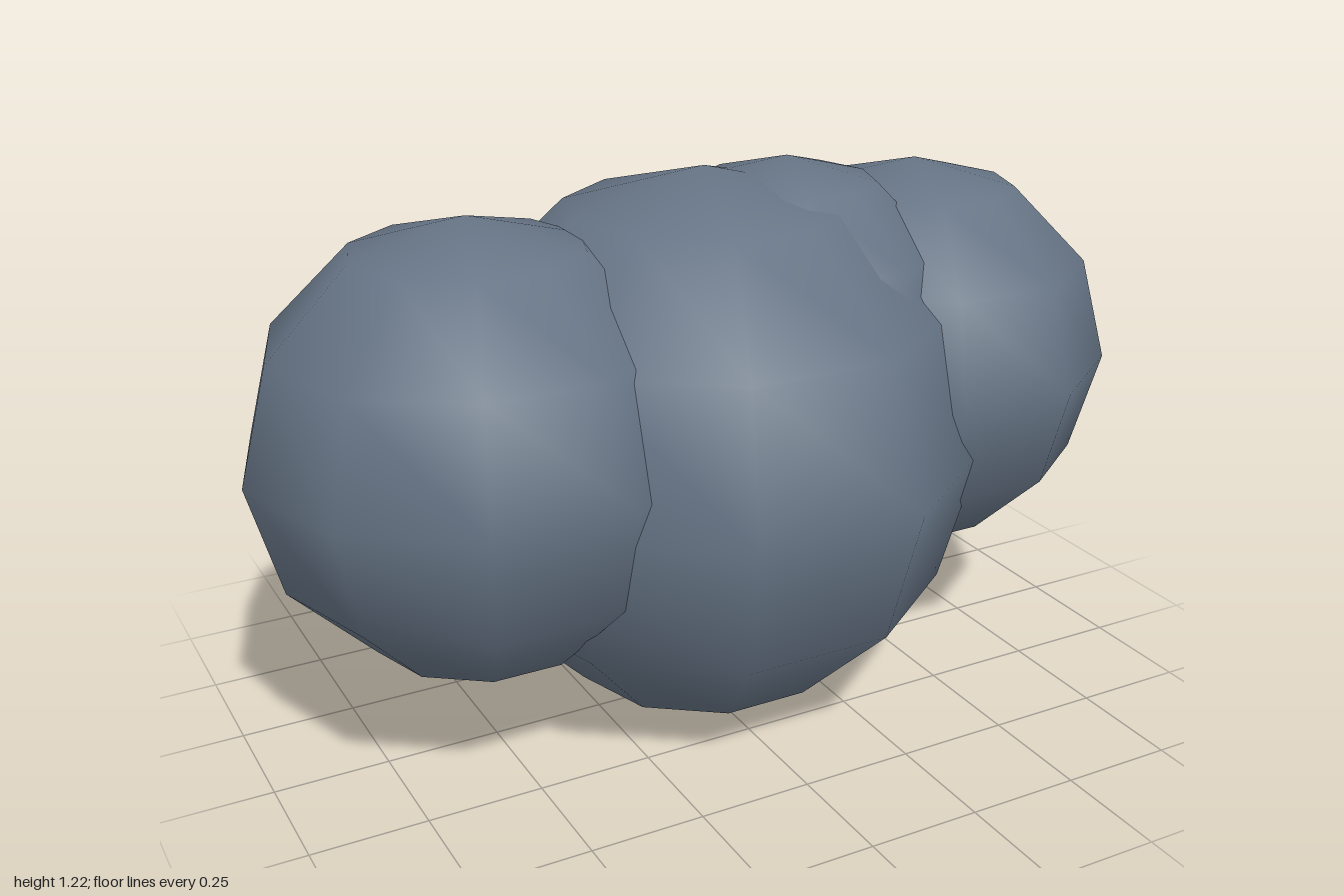
import * as THREE from 'three';

// Storm cloud made of overlapping low-poly puffs with smooth normals
export function createModel() {
  const cloud = new THREE.Group();
  cloud.name = 'cloud';
  const material = new THREE.MeshStandardMaterial({ color: 0x667485 });

  // name, radius, centre x, centre y
  const puffs = [
    ['centrePuff', 0.61, 0.02, 0.615],
    ['rightPuff', 0.487, -0.513, 0.697],
    ['leftPuff', 0.448, 0.552, 0.737],
    ['topPuff', 0.39, 0.22, 0.835],
  ];

  for (const [name, radius, x, y] of puffs) {
    const puff = new THREE.Mesh(new THREE.SphereGeometry(radius, 10, 6), material);
    puff.name = name;
    puff.position.set(x, y, 0);
    cloud.add(puff);
  }
  return cloud;
}
